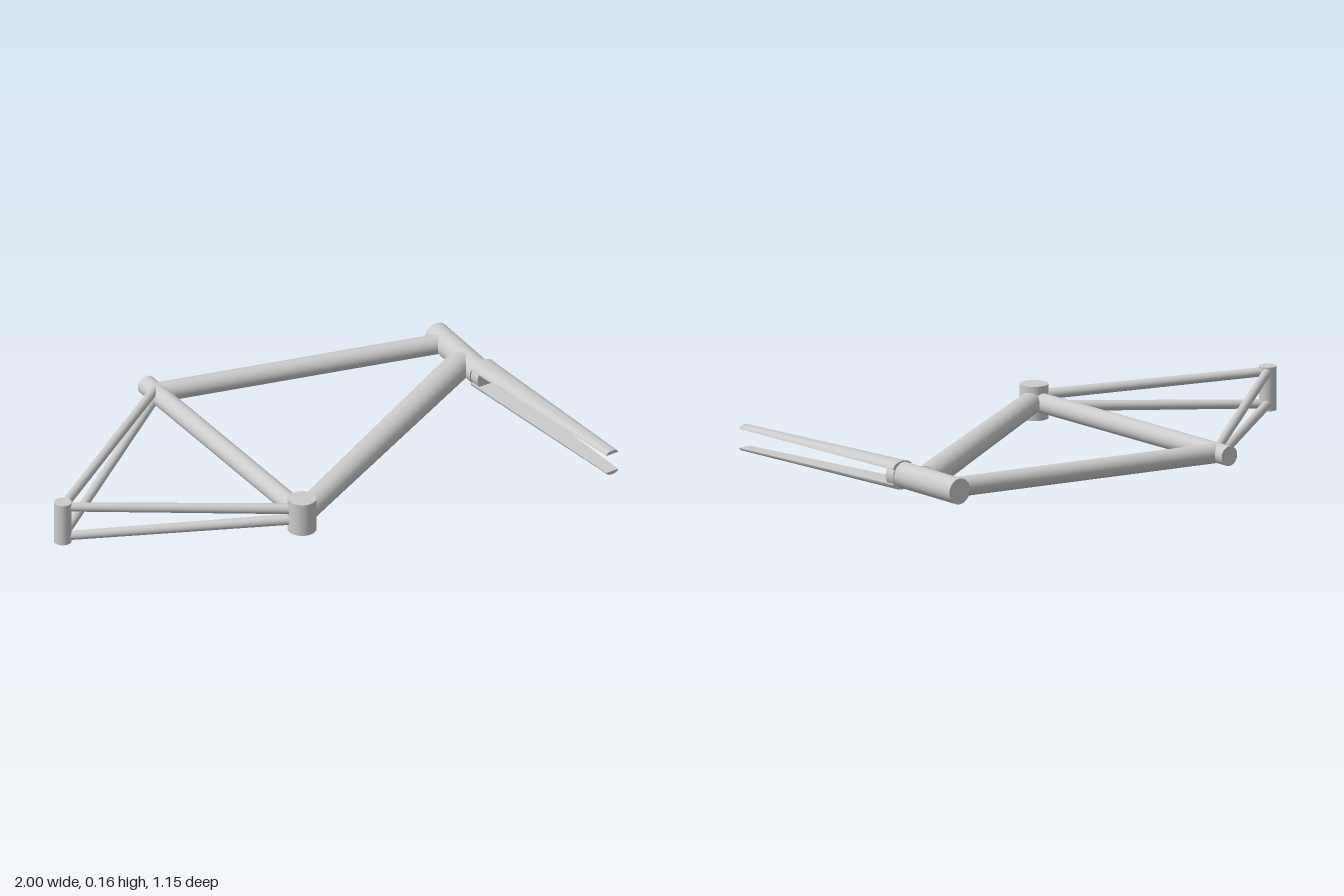
import * as THREE from 'three';
import { toCreasedNormals } from 'three/addons/utils/BufferGeometryUtils.js';

const MID = 0.08; // height of the frame's middle plane
const material = new THREE.MeshStandardMaterial({ color: 0xcccccc });
const at = (x, z, dy = 0) => new THREE.Vector3(x, MID + dy, z);

// Local x: across the tube in the frame plane, y: along it, z: up
function place(name, geometry, a, b) {
  const along = b.clone().sub(a).normalize();
  const up = new THREE.Vector3(0, 1, 0);
  if (Math.abs(along.y) > 0.99) up.set(0, 0, 1);
  const across = along.clone().cross(up).normalize();
  const mesh = new THREE.Mesh(geometry, material);
  const basis = new THREE.Matrix4().makeBasis(across, along, across.clone().cross(along));
  mesh.quaternion.setFromRotationMatrix(basis);
  mesh.position.copy(a).lerp(b, 0.5);
  mesh.name = name;
  return mesh;
}

// Straight tube from a (radius ra) to b (radius rb)
function tube(name, a, b, ra, rb = ra, thickness = 1) {
  const geometry = new THREE.CylinderGeometry(rb, ra, a.distanceTo(b), 40);
  geometry.scale(1, 1, thickness);
  return place(name, geometry, a, b);
}

// Tapered fork blade with a flat inner face and a rounded outer face
function blade(a, b, side) {
  const g = new THREE.CylinderGeometry(0.025, 0.047, a.distanceTo(b), 48, 8);
  const p = g.attributes.position;
  const half = a.distanceTo(b) / 2;
  for (let i = 0; i < p.count; i++) {
    const t = (p.getY(i) + half) / (2 * half);
    const r = THREE.MathUtils.lerp(0.047, 0.025, t);
    const bulge = Math.max(0, (side * p.getZ(i)) / r);
    const inner = THREE.MathUtils.lerp(0.026, 0.034, t);
    const outer = THREE.MathUtils.lerp(0.051, 0.047, t);
    p.setZ(i, side * (inner + (outer - inner) * bulge));
  }
  return place(side > 0 ? 'upperForkBlade' : 'lowerForkBlade', toCreasedNormals(g, 0.6), a, b);
}

export function createModel() {
  const model = new THREE.Group();
  model.name = 'bicycleFrame';

  // Crank shell and rear axle, both across the frame
  model.add(tube('bottomBracket', at(-0.155, 0.52, -0.061), at(-0.155, 0.52, 0.061), 0.05));
  model.add(tube('rearAxle', at(-0.97, 0.36, -0.078), at(-0.97, 0.36, 0.078), 0.031));

  // Main triangle
  model.add(tube('seatTube', at(-0.155, 0.52), at(-0.445, -0.485), 0.035));
  model.add(tube('topTube', at(-0.42, -0.424), at(0.625, -0.503), 0.035));
  model.add(tube('downTube', at(-0.145, 0.51), at(0.645, -0.35), 0.043, 0.051, 0.9));
  model.add(tube('headTube', at(0.615, -0.565), at(0.695, -0.262), 0.046));

  // Stays spread out from the frame to the axle ends
  for (const side of [1, -1]) {
    const prefix = side > 0 ? 'upper' : 'lower';
    model.add(tube(prefix + 'ChainStay', at(-0.97, 0.36, side * 0.058), at(-0.17, 0.518, side * 0.02), 0.016, 0.019));
    model.add(tube(prefix + 'SeatStay', at(-0.97, 0.36, side * 0.058), at(-0.43, -0.42, side * 0.018), 0.016));
  }

  // Fork
  const fork = new THREE.Group();
  fork.name = 'fork';
  const crown = at(0.698, -0.268);
  const tip = at(0.975, 0.452);
  fork.add(tube('forkCrown', crown, crown.clone().lerp(tip, 0.05), 0.046, 0.045));
  for (const side of [1, -1]) fork.add(blade(crown, tip, side));
  model.add(fork);

  return model;
}
